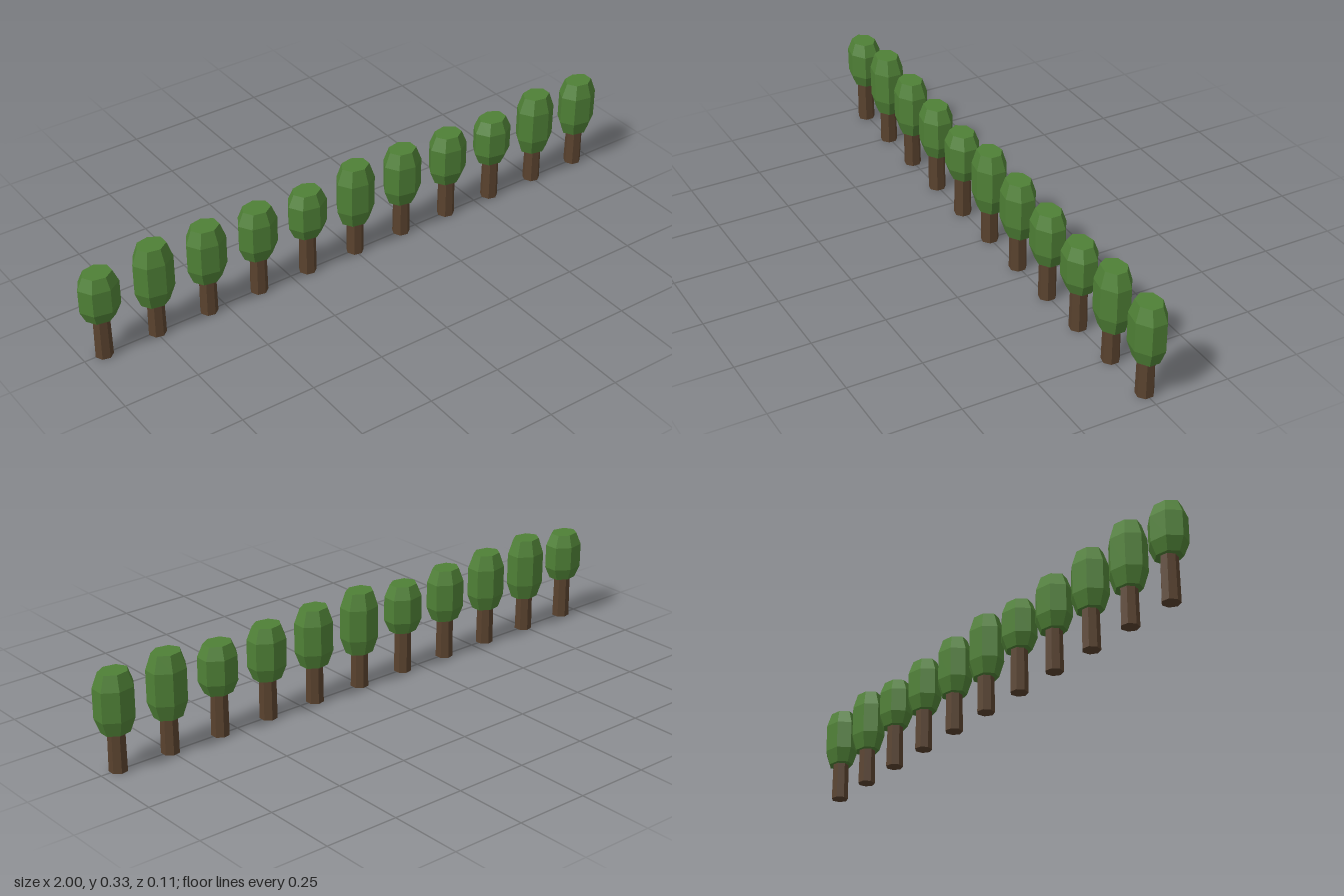
import * as THREE from 'three';

const SIDES = 7;
const COUNT = 11;
const SPACING = 0.1871;
const CROWN_CENTRE = 0.228;
// crown heights repeat along the row
const CROWN_HEIGHTS = [0.164, 0.212, 0.196, 0.18];

export function createModel() {
  const leafGreen = new THREE.MeshStandardMaterial({ color: 0x4f8036, flatShading: true });
  leafGreen.name = 'leafGreen';
  const barkBrown = new THREE.MeshStandardMaterial({ color: 0x59422e, flatShading: true });
  barkBrown.name = 'barkBrown';

  // seven-sided barrel of unit height, one corner pointing to -x
  const profile = [[0, -0.5], [0.72, -0.5], [1, -0.25], [1, 0.25], [0.72, 0.5], [0, 0.5]]
    .map(([r, y]) => new THREE.Vector2(r, y));
  const crownGeometry = new THREE.LatheGeometry(profile, SIDES, -Math.PI / 2);

  // slightly tapered trunk that ends inside the crown
  const trunkHeight = 0.17;
  const trunkGeometry = new THREE.CylinderGeometry(0.0275, 0.0295, trunkHeight, SIDES, 1, false, -Math.PI / 2);
  trunkGeometry.translate(0, trunkHeight / 2, 0);

  const row = new THREE.Group();
  row.name = 'treeRow';
  for (let i = 0; i < COUNT; i++) {
    const tree = new THREE.Group();
    tree.name = `tree${i + 1}`;
    tree.position.x = (i - (COUNT - 1) / 2) * SPACING + 0.0033;

    const trunk = new THREE.Mesh(trunkGeometry, barkBrown);
    trunk.name = 'trunk';

    const crown = new THREE.Mesh(crownGeometry, leafGreen);
    crown.name = 'crown';
    crown.position.y = CROWN_CENTRE;
    crown.scale.set(0.0677, CROWN_HEIGHTS[i % CROWN_HEIGHTS.length], 0.0555);

    tree.add(trunk, crown);
    row.add(tree);
  }
  return row;
}
